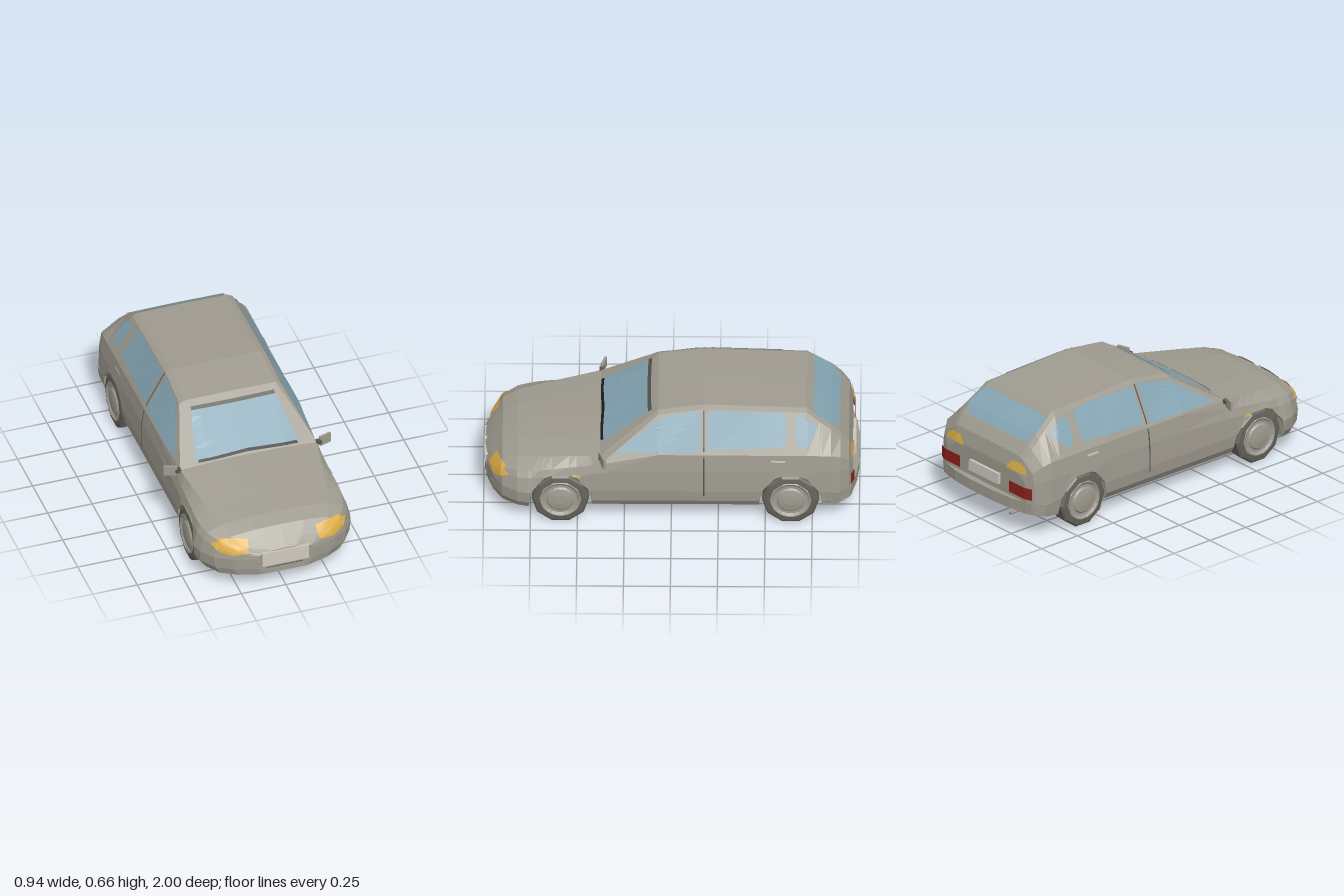
import * as THREE from 'three';

const mat = (name, color) => {
  const m = new THREE.MeshStandardMaterial({ color, side: THREE.DoubleSide });
  m.name = name;
  return m;
};
const M = {
  paint: mat('body paint', 0x9f9b90),
  glass: mat('blue glass', 0x85a5b3),
  amber: mat('amber lamp', 0xdcae48),
  red: mat('red lamp', 0x8e2118),
  tyre: mat('tyre rubber', 0x646259),
  plate: mat('pale plate', 0xcdc6be),
  dark: mat('dark trim', 0x55534c),
  black: mat('wiper black', 0x1c1b19),
};

// Faceted copy of a geometry
function flat(geo) {
  const g = geo.index ? geo.toNonIndexed() : geo;
  g.computeVertexNormals();
  return g;
}
function add(parent, name, geo, material) {
  const mesh = new THREE.Mesh(geo, material);
  mesh.name = name;
  parent.add(mesh);
  return mesh;
}

// Body outline: z, top height, half width, half width at the roof or bonnet edge
const OUTLINE = [
  [.985, .235, .16, .12], [.95, .275, .28, .21], [.90, .33, .37, .27], [.82, .358, .425, .3],
  [.76, .367, .44, .31], [.70, .375, .42, .33], [.38, .424, .415, .385], [.07, .622, .415, .285],
  [-.17, .655, .415, .28], [-.72, .635, .418, .28], [-.85, .54, .418, .30],
  [-.90, .492, .41, .30], [-.945, .44, .375, .28], [-.965, .36, .33, .25],
];
// Shoulder, belt and edge lines follow from the outline
const STATIONS = OUTLINE.map(([z, top, w, edge]) => {
  const nose = z > .75, edgeY = top - .013, rise = edgeY - .21;
  return {
    z, top, w, edge, edgeY,
    floor: .09 + Math.max(0, -.7 - z) * .15,
    shoulder: w * (nose ? .95 : .99), shoulderY: Math.min(.33, .21 + rise * .5),
    belt: w * (nose ? .9 : .96), beltY: Math.min(.425, .21 + rise * .75),
    crown: edge * (z > .3 ? .5 : .9),
  };
});
const AXLES = [0.59, -0.635];
const ARCH = [[.168, .09], [.155, .2], [.085, .285], [.045, .3]];

function stationAt(z) {
  let i = 0;
  while (i < STATIONS.length - 2 && STATIONS[i + 1].z > z) i++;
  const a = STATIONS[i], b = STATIONS[i + 1], t = (a.z - z) / (a.z - b.z);
  return Object.fromEntries(Object.keys(a).map(k => [k, a[k] + (b[k] - a[k]) * t]));
}
// Height of the wheel opening at z
function archAt(z) {
  const d = Math.min(...AXLES.map(a => Math.abs(z - a)));
  if (d >= ARCH[0][0] - 1e-6) return 0;
  for (let i = 1; i < ARCH.length; i++) {
    const [d0, y0] = ARCH[i - 1], [d1, y1] = ARCH[i];
    if (d >= d1 - 1e-6) return y0 + (y1 - y0) * (d0 - d) / (d0 - d1);
  }
  return .3;
}

// Body shell lofted through the stations, with open wheel wells
function bodyGeometry() {
  const zs = STATIONS.map(s => s.z);
  for (const a of AXLES) for (const [d] of ARCH) zs.push(a + d, a - d);
  zs.sort((a, b) => b - a);
  const rings = zs.map(z => {
    const s = stationAt(z), w = s.w;
    const a = Math.max(s.floor, archAt(z)), well = Math.min(.305, w - .04);
    const half = [[0, s.floor], [well, s.floor], [well, a], [w - .035, a], [w - .008, Math.max(.132, a)],
      [w, Math.max(.2, a)], [s.shoulder, Math.max(s.shoulderY, a)], [s.belt, Math.max(s.beltY, a)],
      [s.edge, s.edgeY], [s.crown, s.top], [0, s.top + .003]];
    const other = half.slice(1, -1).reverse().map(([x, y]) => [-x, y]);
    return [...half, ...other].map(([x, y]) => [x, y, z]);
  });
  const pos = [], n = rings[0].length;
  for (let i = 0; i < rings.length - 1; i++) {
    for (let j = 0; j < n; j++) {
      const k = (j + 1) % n, A = rings[i], B = rings[i + 1];
      pos.push(...A[j], ...B[j], ...B[k], ...A[j], ...B[k], ...A[k]);
    }
  }
  for (const [ring, front] of [[rings[0], true], [rings[rings.length - 1], false]]) {
    const c = [0, .2, ring[0][2]];
    for (let j = 0; j < n; j++) {
      const k = (j + 1) % n;
      pos.push(...c, ...(front ? ring[j] : ring[k]), ...(front ? ring[k] : ring[j]));
    }
  }
  const g = new THREE.BufferGeometry();
  g.setAttribute('position', new THREE.Float32BufferAttribute(pos, 3));
  return flat(g);
}

// Thin panel laid on the body: outline (u, v) cast along an axis from one side
function panelGeometry(body, points, axis, side, lift) {
  const src = new THREE.ShapeGeometry(new THREE.Shape(points.map(p => new THREE.Vector2(...p)))).toNonIndexed();
  const p = src.attributes.position;
  let tris = [];
  for (let i = 0; i < p.count; i += 3) tris.push([0, 1, 2].map(k => new THREE.Vector2(p.getX(i + k), p.getY(i + k))));
  const mid = (a, b) => a.clone().add(b).multiplyScalar(.5);
  for (let s = 0; s < 3; s++) {
    tris = tris.flatMap(([a, b, c]) => {
      const ab = mid(a, b), bc = mid(b, c), ca = mid(c, a);
      return [[a, ab, ca], [ab, b, bc], [ca, bc, c], [ab, bc, ca]];
    });
  }
  const ray = new THREE.Raycaster(), out = [];
  const dir = axis === 'x' ? new THREE.Vector3(-side, 0, 0) : new THREE.Vector3(0, 0, -side);
  for (const tri of tris) {
    const hits = tri.map(q => {
      ray.set(axis === 'x' ? new THREE.Vector3(side * 2, q.y, q.x) : new THREE.Vector3(q.x, q.y, side * 2), dir);
      const hit = ray.intersectObject(body)[0];
      if (!hit) return null;
      const nrm = hit.face.normal.clone();
      if (nrm.dot(dir) > 0) nrm.negate();
      return hit.point.addScaledVector(nrm, lift);
    });
    if (hits.some(h => !h)) continue;
    const facing = hits[1].clone().sub(hits[0]).cross(hits[2].clone().sub(hits[0])).dot(dir) < 0;
    for (const h of facing ? hits : hits.reverse()) out.push(h.x, h.y, h.z);
  }
  const g = new THREE.BufferGeometry();
  g.setAttribute('position', new THREE.Float32BufferAttribute(out, 3));
  return flat(g);
}

const rect = (u0, u1, v0, v1) => [[u0, v0], [u1, v0], [u1, v1], [u0, v1]];

// Ten-sided tyre with rounder rim and hubcap, outer face towards +x
function makeWheel() {
  const wheel = new THREE.Group();
  const lathe = (pts, n) => {
    const g = new THREE.LatheGeometry(pts.map(q => new THREE.Vector2(...q)), n, Math.PI / n);
    return flat(g.rotateZ(-Math.PI / 2).rotateX(Math.PI / 2));
  };
  add(wheel, 'tyre', lathe([[0, -.045], [.12, -.05], [.148, -.042], [.153, .035], [.142, .045], [.113, .05], [.108, .035], [0, .035]], 10), M.tyre);
  add(wheel, 'rim', lathe([[.113, .046], [.105, .052], [.09, .042], [.075, .042], [.066, .05], [.03, .056], [0, .057]], 20), M.paint);
  return wheel;
}

export function createModel() {
  const car = new THREE.Group();
  car.name = 'car';
  const body = add(car, 'body', bodyGeometry(), M.paint);
  body.updateMatrixWorld(true);
  const panel = (name, pts, axis, side, m, lift = .005) =>
    add(car, name, panelGeometry(body, pts, axis, side, lift), m);

  // Front and rear glass with wipers
  panel('windscreen', [[-.29, .428], [0, .436], [.29, .428], [.235, .588], [-.235, .588]], 'z', 1, M.glass);
  panel('windscreenHeader', rect(-.235, .235, .588, .6), 'z', 1, M.dark);
  panel('wipers', [[-.28, .424], [0, .434], [.28, .424], [.275, .433], [0, .444], [-.275, .433]], 'z', 1, M.black, .009);
  panel('rearWindow', [[-.23, .5], [.23, .5], [.265, .525], [.27, .57], [.25, .612], [-.25, .612], [-.27, .57], [-.265, .525]], 'z', -1, M.glass);

  // Nose slot and number plates
  panel('noseSlot', rect(-.1, .1, .13, .135), 'z', 1, M.dark);
  const plate = (name, w, h, y, z, tilt) => {
    const p = add(car, name, new THREE.BoxGeometry(w, h, .022), M.plate);
    p.position.set(0, y, z);
    p.rotation.x = tilt;
  };
  plate('frontPlate', .262, .083, .19, .987, -.04);
  plate('rearPlate', .24, .06, .268, -.972, .03);

  // Rear bumper wrapped round the tail, its underside rising to the back
  const outline = [[.38, -.8], [.418, -.805], [.42, -.89], [.365, -.955], [.23, -.988], [.1, -1]];
  const plan = [...outline, ...outline.map(([x, z]) => [-x, z]).reverse()].map(q => new THREE.Vector2(...q));
  const bumper = new THREE.ExtrudeGeometry(new THREE.Shape(plan), { depth: .065, bevelEnabled: false });
  bumper.rotateX(Math.PI / 2).translate(0, .2, 0);
  const bp = bumper.attributes.position;
  for (let i = 0; i < bp.count; i++) {
    if (bp.getY(i) < .17) bp.setXYZ(i, bp.getX(i) * .97, .11 + (-.8 - bp.getZ(i)) * .15, bp.getZ(i));
  }
  add(car, 'rearBumper', flat(bumper), M.paint);

  // Exhaust pipe
  const pipe = add(car, 'exhaust', flat(new THREE.CylinderGeometry(.01, .01, .1, 8).rotateX(Math.PI / 2)), M.paint);
  pipe.position.set(-.24, .118, -.95);

  for (const s of [1, -1]) {
    const mx = pts => pts.map(([x, y]) => [x * s, y]);
    const label = s > 0 ? 'left' : 'right';
    // Side glass
    panel(label + 'FrontWindow', [[.30, .428], [.06, .592], [-.02, .612], [-.135, .632], [-.155, .62], [-.155, .445], [-.1, .438]], 'x', s, M.glass);
    panel(label + 'RearWindow', [[-.19, .447], [-.19, .625], [-.21, .634], [-.58, .624], [-.605, .61], [-.612, .48], [-.59, .464]], 'x', s, M.glass);
    panel(label + 'QuarterWindow', [[-.655, .59], [-.665, .49], [-.69, .465], [-.72, .462], [-.78, .54], [-.74, .578], [-.69, .607]], 'x', s, M.glass);
    // Door seam, handles and side lamp
    panel(label + 'DoorSeam', rect(-.176, -.168, .17, .638), 'x', s, M.dark, .003);
    panel(label + 'FrontHandle', rect(-.145, -.07, .389, .401), 'x', s, M.paint, .009);
    panel(label + 'RearHandle', rect(-.605, -.53, .389, .401), 'x', s, M.plate, .009);
    panel(label + 'SideLamp', rect(.485, .525, .29, .303), 'x', s, M.amber, .007);
    // Headlamp, grille half and lower intake
    panel(label + 'Headlamp', mx([[.19, .298], [.198, .238], [.285, .224], [.335, .238], [.375, .272], [.325, .304], [.27, .31]]), 'z', 1, M.amber, .007);
    panel(label + 'Grille', mx([[.012, .238], [.03, .275], [.02, .318], [.11, .323], [.175, .298], [.185, .265], [.165, .245], [.12, .236]]), 'z', 1, M.paint, .009);
    panel(label + 'Intake', mx([[.14, .165], [.14, .215], [.215, .206], [.29, .196], [.316, .165]]), 'z', 1, M.paint, .009);
    // Tail lamps
    panel(label + 'TailIndicator', mx([[.17, .355], [.325, .355], [.315, .385], [.28, .408], [.21, .405]]), 'z', -1, M.amber, .007);
    panel(label + 'TailLamp', mx(rect(.2, .365, .222, .288)), 'z', -1, M.red, .009);
    // Door mirror on a short stalk
    const mirror = add(car, label + 'Mirror', new THREE.BoxGeometry(.07, .058, .014), M.paint);
    mirror.position.set(s * .435, .411, .365);
    mirror.rotation.y = s * .3;
    const stalk = add(car, label + 'MirrorStalk', new THREE.BoxGeometry(.03, .02, .025), M.dark);
    stalk.position.set(s * .395, .41, .375);
    // Wheels
    AXLES.forEach((z, i) => {
      const wheel = makeWheel();
      wheel.name = label + (i ? 'RearWheel' : 'FrontWheel');
      wheel.position.set(s * .37, .146, z);
      if (s < 0) wheel.rotation.y = Math.PI;
      car.add(wheel);
    });
  }
  return car;
}
